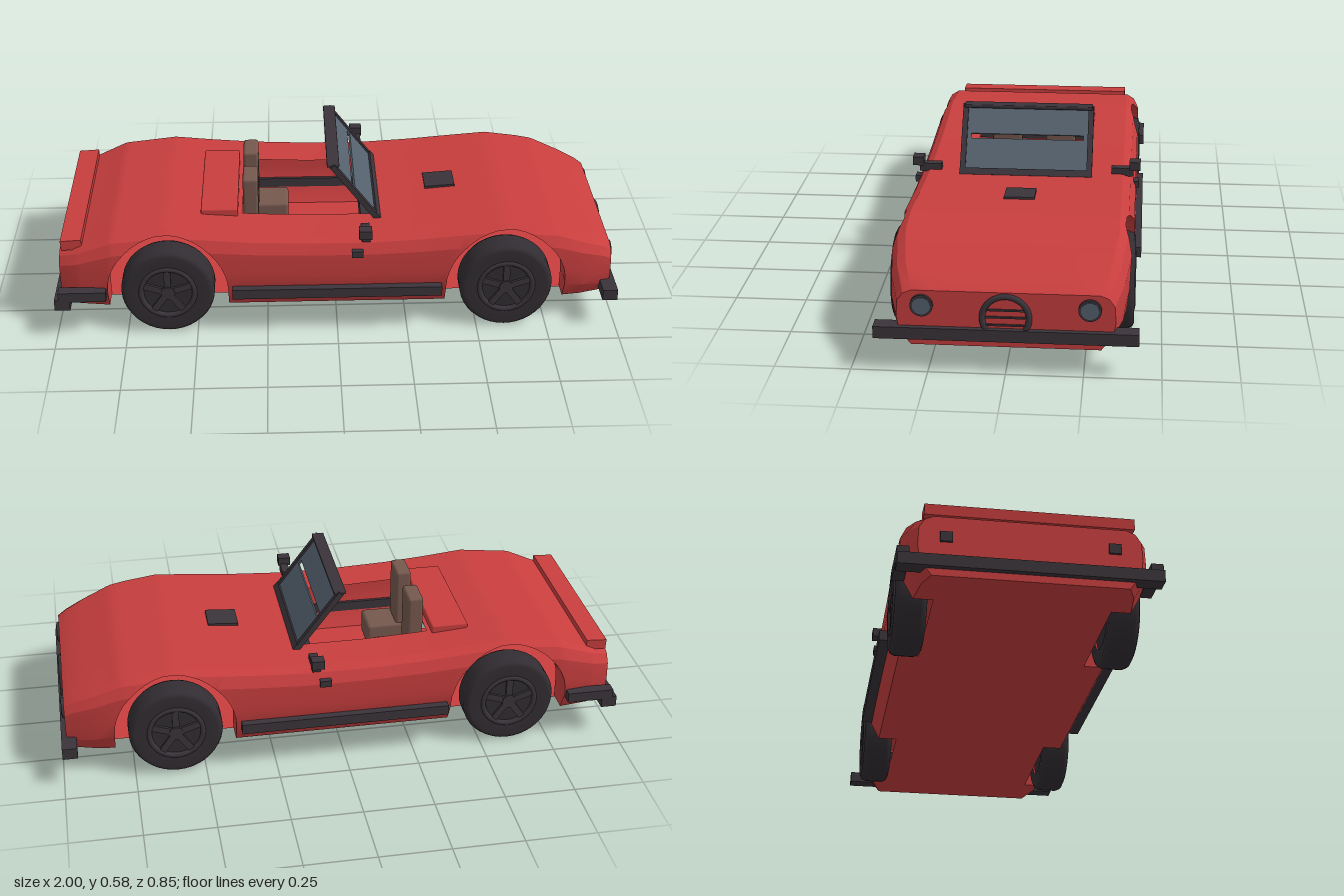
import * as THREE from 'three';
import { toCreasedNormals } from 'three/addons/utils/BufferGeometryUtils.js';
import { RoundedBoxGeometry } from 'three/addons/geometries/RoundedBoxGeometry.js';

const mat = (name, color, side = THREE.FrontSide) => {
  const m = new THREE.MeshStandardMaterial({ color, side });
  m.name = name;
  return m;
};
const RED = mat('red paint', 0xc83e3e, THREE.DoubleSide);
const DARK = mat('dark trim', 0x3a343a);
const TYRE = mat('tyre rubber', 0x322d32);
const GLASS = mat('slate glass', 0x55626e);
const SEAT = mat('brown upholstery', 0x75584e);

const BOTTOM = 0.09, AXLE_X = 0.6, AXLE_Y = 0.17, ARCH_R = 0.213;
const COCKPIT = { x0: -0.335, x1: 0.13, z: 0.205 };

// Body top height and half width along x
const TOP = [[-0.98, 0.3], [-0.9, 0.33], [-0.79, 0.375], [-0.6, 0.397], [-0.45, 0.382], [-0.3, 0.37], [-0.1, 0.362],
  [0.13, 0.362], [0.3, 0.372], [0.45, 0.385], [0.6, 0.397], [0.78, 0.372], [0.95, 0.3], [0.98, 0.28]];
const WIDTH = [[-0.98, 0.36], [-0.92, 0.385], [-0.8, 0.402], [0.72, 0.402], [0.88, 0.38], [0.98, 0.35]];
// Side profile: [fraction of height, inset from half width]
const PROFILE = [[0, 0.045], [0.25, 0.008], [0.5, 0], [0.8, 0.003], [0.94, 0.022], [1, 0.05]];

function lerpTable(table, x) {
  let i = 0;
  while (i < table.length - 2 && x > table[i + 1][0]) i++;
  const [[x0, v0], [x1, v1]] = [table[i], table[i + 1]];
  return v0 + (v1 - v0) * THREE.MathUtils.clamp((x - x0) / (x1 - x0), 0, 1);
}

function mesh(parent, name, geometry, material, x = 0, y = 0, z = 0) {
  const m = new THREE.Mesh(geometry, material);
  m.name = name;
  m.position.set(x, y, z);
  parent.add(m);
  return m;
}

// Box given by its limits
function box(parent, name, material, [x0, x1], [y0, y1], [z0, z1], r = 0) {
  const s = [x1 - x0, y1 - y0, z1 - z0];
  const g = r ? new RoundedBoxGeometry(...s, 2, r) : new THREE.BoxGeometry(...s);
  return mesh(parent, name, g, material, (x0 + x1) / 2, (y0 + y1) / 2, (z0 + z1) / 2);
}

// Half section at x, raised to the arch edge where a wheel sits
function section({ x, arch }) {
  const t = lerpTable(TOP, x), w = lerpTable(WIDTH, x), h = t - BOTTOM;
  const dx = Math.abs(x) - AXLE_X;
  const low = arch ? AXLE_Y + Math.sqrt(Math.max(0, ARCH_R ** 2 - dx * dx)) : BOTTOM;
  const half = PROFILE.map(([f]) => {
    const y = Math.max(BOTTOM + f * h, low);
    return [x, y, w - lerpTable(PROFILE, (y - BOTTOM) / h)];
  });
  half.push([x, t, COCKPIT.z]);
  return [...half, ...half.slice().reverse().map(([a, b, c]) => [a, b, -c])];
}

function buildBody(car) {
  const stations = [];
  for (const [x] of [...TOP, ...WIDTH, [COCKPIT.x0]])
    if (Math.abs(Math.abs(x) - AXLE_X) > ARCH_R) stations.push({ x, arch: false });
  for (const c of [-AXLE_X, AXLE_X]) {
    stations.push({ x: c - ARCH_R, arch: false }, { x: c + ARCH_R, arch: false });
    for (let i = 0; i <= 20; i++) stations.push({ x: c - ARCH_R * Math.cos(i * Math.PI / 20), arch: true });
  }
  // Keep plain stations outside the arch ones where both share an x
  const key = (s) => s.x + (s.arch ? 0 : 1e-5 * Math.sign(Math.abs(s.x) - AXLE_X) * Math.sign(s.x));
  stations.sort((a, b) => key(a) - key(b));

  const skin = [], floor = [], liner = [];
  const quad = (out, a, b, c, d) => out.push(...a, ...b, ...c, ...a, ...c, ...d);
  const rings = stations.map(section);
  for (let i = 0; i < rings.length - 1; i++) {
    const p = rings[i], q = rings[i + 1], s = stations[i], t = stations[i + 1];
    const mid = (s.x + t.x) / 2, open = mid > COCKPIT.x0 && mid < COCKPIT.x1;
    for (let j = 0; j < 13; j++) if (j !== 6 || !open) quad(skin, p[j], q[j], q[j + 1], p[j + 1]);
    // Floor narrows between the wheels
    const fz = (st, r) => (st.arch ? 0.29 : r[0][2]);
    const a = fz(s, p), b = fz(t, q);
    quad(floor, [s.x, BOTTOM, -a], [t.x, BOTTOM, -b], [t.x, BOTTOM, b], [s.x, BOTTOM, a]);
    // Arch liner runs inward from the cut edge
    if (s.arch || t.arch) for (const k of [0, 13]) {
      const inner = (v) => [v[0], v[1], Math.sign(v[2]) * 0.28];
      if (k) quad(liner, p[k], q[k], inner(q[k]), inner(p[k]));
      else quad(liner, inner(p[k]), inner(q[k]), q[k], p[k]);
    }
  }
  const nose = rings[rings.length - 1], tail = rings[0];
  for (let j = 1; j < 13; j++) {
    skin.push(...nose[0], ...nose[j + 1], ...nose[j]);
    skin.push(...tail[0], ...tail[j], ...tail[j + 1]);
  }
  for (const [name, data] of [['bodyShell', skin], ['floorPan', floor], ['wheelArchLiners', liner]]) {
    const g = new THREE.BufferGeometry();
    g.setAttribute('position', new THREE.Float32BufferAttribute(data, 3));
    mesh(car, name, toCreasedNormals(g, 0.4), RED);
  }
}

function buildWheel(car, x, side) {
  const wheel = new THREE.Group();
  wheel.name = 'wheel';
  const pts = [[0.1, -0.05], [0.145, -0.053], [0.158, -0.047], [0.165, -0.032], [0.165, 0.032], [0.158, 0.047], [0.145, 0.053], [0.1, 0.05]];
  const tyre = new THREE.LatheGeometry(pts.map((p) => new THREE.Vector2(...p)), 40).rotateX(Math.PI / 2);
  mesh(wheel, 'tyre', tyre, TYRE);
  mesh(wheel, 'wheelDisc', new THREE.CylinderGeometry(0.104, 0.104, 0.086, 32).rotateX(Math.PI / 2), TYRE);
  mesh(wheel, 'rimRing', new THREE.TorusGeometry(0.095, 0.01, 8, 36), DARK, 0, 0, 0.046);
  mesh(wheel, 'hub', new THREE.CylinderGeometry(0.025, 0.025, 0.02, 20).rotateX(Math.PI / 2), DARK, 0, 0, 0.046);
  for (let i = 0; i < 5; i++) {
    const g = new THREE.BoxGeometry(0.024, 0.08, 0.012).translate(0, 0.055, 0.046);
    mesh(wheel, 'spoke', g.rotateZ(i * Math.PI * 0.4), DARK);
  }
  wheel.position.set(x, 0.167, side * 0.353);
  if (side < 0) wheel.rotation.y = Math.PI;
  car.add(wheel);
}

function buildWindscreen(car) {
  const screen = new THREE.Group();
  screen.name = 'windscreen';
  screen.position.set(0.145, 0.365, 0);
  screen.rotation.z = 0.65;
  const t = [-0.004, 0.004];
  // Glass panes around a narrow slot
  box(screen, 'lowerGlass', GLASS, t, [0, 0.131], [-0.222, 0.222]);
  box(screen, 'upperGlass', GLASS, t, [0.149, 0.26], [-0.222, 0.222]);
  for (const s of [-1, 1]) {
    box(screen, 'glassEdge', GLASS, t, [0.131, 0.149], [s * 0.2135 - 0.0085, s * 0.2135 + 0.0085]);
    box(screen, 'screenPost', DARK, [-0.01, 0.01], [-0.005, 0.262], [s * 0.23 - 0.01, s * 0.23 + 0.01]);
  }
  box(screen, 'screenBase', DARK, [-0.01, 0.012], [-0.01, 0.015], [-0.24, 0.24]);
  car.add(screen);
  box(car, 'screenTopRail', DARK, [-0.032, 0.012], [0.567, 0.58], [-0.235, 0.235], 0.004);
}

export function createModel() {
  const car = new THREE.Group();
  car.name = 'openSportsCar';
  buildBody(car);
  buildWindscreen(car);
  for (const x of [-AXLE_X, AXLE_X]) for (const s of [-1, 1]) buildWheel(car, x, s);

  // Deck, spoiler, bonnet vent and dashboard
  box(car, 'rearDeckCover', RED, [-0.482, -0.35], [0.36, 0.402], [-0.228, 0.228], 0.006);
  box(car, 'spoiler', RED, [-0.972, -0.898], [0.313, 0.35], [-0.34, 0.34]).rotation.z = 0.06;
  box(car, 'bonnetVent', DARK, [0.333, 0.443], [0.372, 0.388], [-0.053, 0.053]).rotation.z = 0.07;
  box(car, 'dashboard', DARK, [0.09, 0.14], [0.29, 0.352], [-0.2, 0.2]);

  // Bumpers
  box(car, 'frontBumper', DARK, [0.945, 0.998], [0.115, 0.156], [-0.425, 0.425]);
  box(car, 'rearBumper', DARK, [-1, -0.945], [0.115, 0.156], [-0.425, 0.425]);

  // Grille on the nose
  const ring = new THREE.TorusGeometry(0.075, 0.01, 8, 36).rotateY(Math.PI / 2);
  mesh(car, 'grilleRing', ring, DARK, 0.981, 0.192, 0);
  for (const y of [0.168, 0.195, 0.22]) box(car, 'grilleBar', DARK, [0.975, 0.985], [y - 0.003, y + 0.003], [-0.064, 0.064]);

  // Paired parts
  for (const s of [-1, 1]) {
    const span = (a, b) => (s > 0 ? [a, b] : [-b, -a]);
    box(car, 'seatCushion', SEAT, [-0.33, -0.168], [0.18, 0.27], span(0.037, 0.172), 0.012);
    box(car, 'seatBack', SEAT, [-0.332, -0.277], [0.18, 0.482], span(0.046, 0.16), 0.01);
    box(car, 'sideTrim', DARK, [-0.372, 0.37], [0.148, 0.185], span(0.385, 0.425));
    box(car, 'rearSideTrim', DARK, [-0.985, -0.817], [0.148, 0.185], span(0.385, 0.425));
    box(car, 'mirrorArm', DARK, [0.085, 0.115], [0.355, 0.385], span(0.31, 0.39));
    box(car, 'mirror', DARK, [0.075, 0.12], [0.378, 0.41], span(0.375, 0.415));
    box(car, 'doorHandle', DARK, [0.05, 0.09], [0.302, 0.326], span(0.39, 0.411));
    box(car, 'tailLamp', DARK, [-0.988, -0.975], [0.21, 0.245], span(0.25, 0.29));
    const disc = (r, h) => new THREE.CylinderGeometry(r, r, h, 28).rotateZ(Math.PI / 2);
    mesh(car, 'headlightRim', disc(0.037, 0.02), DARK, 0.979, 0.23, s * 0.268);
    mesh(car, 'headlightGlass', disc(0.029, 0.008), GLASS, 0.987, 0.23, s * 0.268);
  }
  return car;
}
